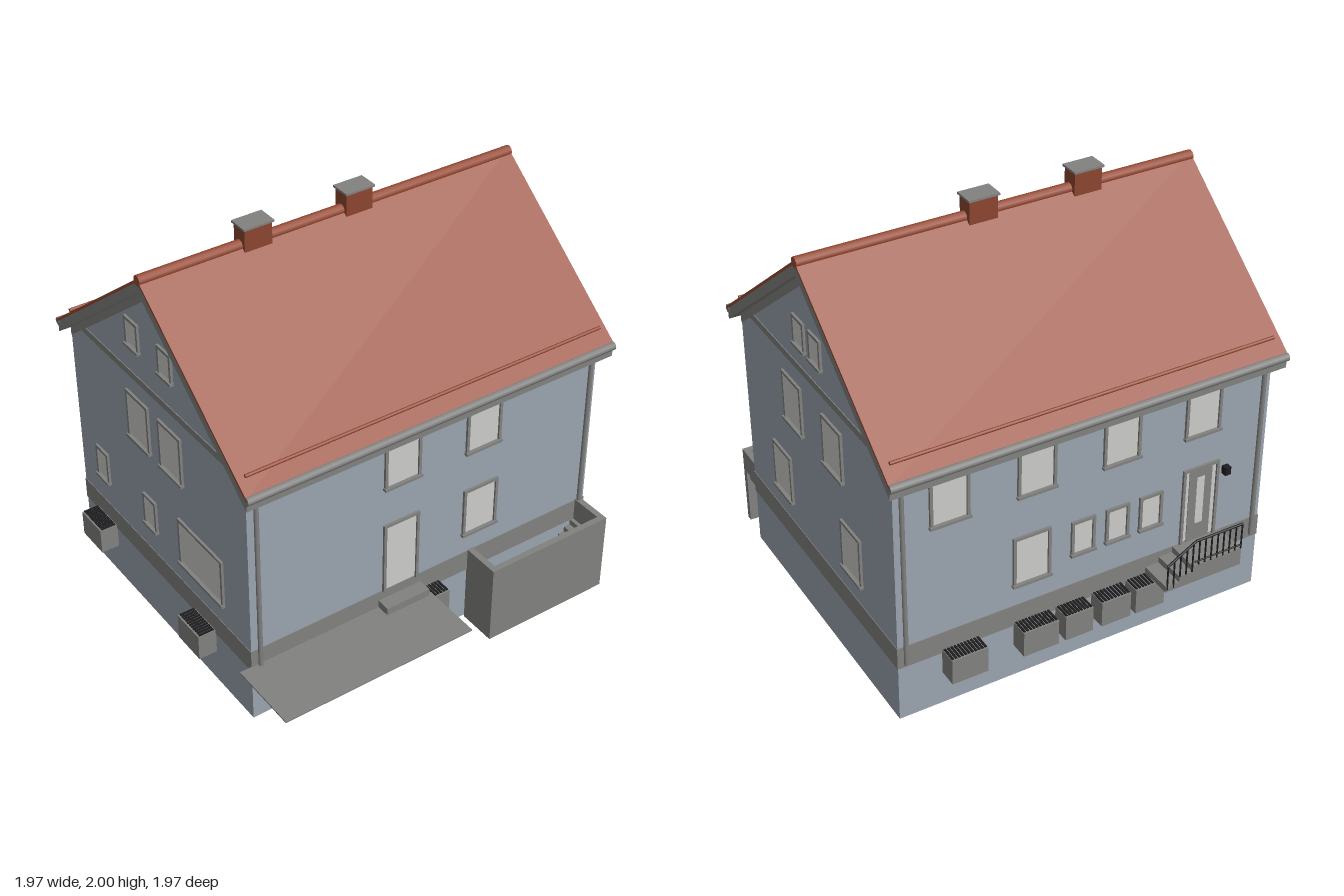
import * as THREE from 'three';

const mat = (name, color) => {
  const m = new THREE.MeshStandardMaterial({ color });
  m.name = name;
  return m;
};

export function createModel() {
  const wallMat = mat('blue grey plaster', 0x9aa4ae);
  const grey = mat('grey trim', 0x818180);
  const glass = mat('pale glass', 0xcbcbc9);
  const red = mat('red roof tile', 0x974a33);
  const brick = mat('chimney brick', 0x8c4530);
  const dark = mat('black iron', 0x1e1e20);
  const base = mat('floor underside', 0x6a6c6c);

  const house = new THREE.Group();
  house.name = 'house';
  const add = (name, geo, m, parent = house) => {
    const mesh = new THREE.Mesh(geo, m);
    mesh.name = name;
    parent.add(mesh);
    return mesh;
  };
  // Box given by its extents along each axis
  const box = (name, m, x0, x1, y0, y1, z0, z1, parent = house) => {
    const mesh = add(name, new THREE.BoxGeometry(x1 - x0, y1 - y0, z1 - z0), m, parent);
    mesh.position.set((x0 + x1) / 2, (y0 + y1) / 2, (z0 + z1) / 2);
    return mesh;
  };
  // Prism from a [z, y] outline, running along x
  const prism = (name, m, pts, x0, x1) => {
    const shape = new THREE.Shape(pts.map(([z, y]) => new THREE.Vector2(-z, y)));
    const geo = new THREE.ExtrudeGeometry(shape, { depth: x1 - x0, bevelEnabled: false });
    geo.rotateY(Math.PI / 2).translate(x0, 0, 0);
    return add(name, geo, m);
  };
  // Round bar between two points
  const bar = (name, m, a, b, r, sides = 8) => {
    const p = new THREE.Vector3(...a), q = new THREE.Vector3(...b);
    const mesh = add(name, new THREE.CylinderGeometry(r, r, p.distanceTo(q), sides), m);
    mesh.position.copy(p).lerp(q, 0.5);
    mesh.quaternion.setFromUnitVectors(new THREE.Vector3(0, 1, 0), q.sub(p).normalize());
    return mesh;
  };

  const X0 = -0.9, X1 = 0.945, Z0 = -0.82, Z1 = 0.63, RZ = -0.095, SLOPE = 0.785;
  const roofY = (z, top) => top - SLOPE * Math.abs(z - RZ);

  // Walls with gables, plinth band and floor
  prism('walls', wallMat, [[Z0, 0.02], [Z1, 0.02], [Z1, roofY(Z1, 1.86)], [RZ, 1.86], [Z0, roofY(Z0, 1.86)]], X0, X1);
  box('plinthBand', grey, X0 - 0.003, X1 + 0.003, 0.3, 0.41, Z0 - 0.003, Z1 + 0.003);
  box('floorUnderside', base, X0 + 0.035, X1 - 0.035, 0.016, 0.022, Z0 + 0.035, Z1 - 0.035);

  // Roof: layered chevrons
  const chevron = (name, m, top, thick, half, x0, x1) => {
    const zs = [RZ - half, RZ, RZ + half];
    const upper = zs.map(z => [z, roofY(z, top)]);
    const lower = zs.map(z => [z, roofY(z, top - thick)]).reverse();
    prism(name, m, [...upper, ...lower], x0, x1);
  };
  chevron('roofTiles', red, 1.915, 0.015, 0.79, -0.935, 0.985);
  chevron('roofBoards', grey, 1.9, 0.055, 0.785, -0.933, 0.983);
  chevron('gableTrim', grey, 1.85, 0.05, 0.72, X0 - 0.005, X1 + 0.005);
  box('gableBand', grey, X0 - 0.004, X1 + 0.004, 1.315, 1.35, -0.72, 0.53);
  bar('ridgeCap', red, [-0.935, 1.905, RZ], [0.985, 1.905, RZ], 0.025, 12);
  for (const s of [1, -1]) {
    const ez = RZ + s * 0.785;
    bar('gutter', grey, [-0.935, 1.283, ez], [0.985, 1.283, ez], 0.02, 10);
    const gz = RZ + s * 0.727;
    bar('snowGuard', red, [-0.9, 1.36, gz], [0.95, 1.36, gz], 0.008);
    const wz = s > 0 ? Z1 + 0.012 : Z0 - 0.012;
    for (const x of [-0.86, 0.91]) {
      bar('drainpipe', grey, [x, 0.32, wz], [x, 1.24, wz], 0.011);
      bar('drainpipeElbow', grey, [x, 1.235, wz], [x, 1.275, ez], 0.011);
    }
  }

  // Chimneys
  for (const x of [-0.375, 0.138]) {
    box('chimney', brick, x - 0.068, x + 0.068, 1.8, 1.99, -0.138, -0.056);
    box('chimneyCap', grey, x - 0.075, x + 0.075, 1.99, 2, -0.147, -0.048);
  }

  // Wall groups: local x runs along the wall, local z points outward
  const side = (name, x, z, turn) => {
    const g = new THREE.Group();
    g.name = name;
    g.position.set(x, 0, z);
    g.rotation.y = turn;
    house.add(g);
    return g;
  };
  const front = side('frontOpenings', 0, Z1, 0);
  const back = side('backOpenings', 0, Z0, Math.PI);
  const left = side('leftOpenings', X1, 0, Math.PI / 2);
  const right = side('rightOpenings', X0, 0, -Math.PI / 2);

  const opening = (g, x, y, w, h, sill = true) => {
    const t = 0.014, x0 = x - w / 2, x1 = x + w / 2, y0 = y - h / 2, y1 = y + h / 2;
    box('pane', glass, x0 + t, x1 - t, y0 + t / 2, y1 - t, -0.003, 0.003, g);
    box('frameSide', grey, x0, x0 + t, y0, y1, -0.003, 0.012, g);
    box('frameSide', grey, x1 - t, x1, y0, y1, -0.003, 0.012, g);
    box('frameTop', grey, x0 + t, x1 - t, y1 - t, y1, -0.003, 0.012, g);
    if (sill) box('sill', grey, x0 - 0.004, x1 + 0.004, y0 - 0.003, y0 + 0.01, -0.003, 0.02, g);
  };

  // Front: windows and terrace door
  opening(front, -0.12, 1.105, 0.19, 0.255);
  opening(front, 0.315, 1.105, 0.19, 0.255);
  opening(front, 0.315, 0.645, 0.19, 0.255);
  opening(front, -0.12, 0.593, 0.19, 0.375, false);
  // Left gable
  for (const z of [0.1, -0.29]) opening(left, -z, 1.105, 0.185, 0.25);
  for (const z of [0.26, -0.425]) opening(left, -z, 0.645, 0.185, 0.25);
  for (const z of [-0.015, -0.17]) opening(left, -z, 1.52, 0.11, 0.145);
  // Right gable
  for (const z of [-0.23, 0.04]) {
    opening(right, z, 1.105, 0.185, 0.25);
    opening(right, z, 1.56, 0.11, 0.145);
  }
  opening(right, 0.25, 0.645, 0.36, 0.25);
  for (const z of [-0.18, -0.61]) opening(right, z, 0.63, 0.11, 0.17);
  // Back
  for (const x of [0.69, 0.28, -0.137, -0.552]) opening(back, -x, 1.105, 0.185, 0.255);
  opening(back, -0.3, 0.645, 0.185, 0.255);
  for (const x of [0.046, -0.128, -0.3]) opening(back, -x, 0.66, 0.12, 0.18);
  opening(back, 0.56, 0.61, 0.19, 0.4, false);
  box('doorLeaf', grey, 0.5, 0.62, 0.41, 0.79, 0, 0.006, back);
  box('doorGlass', glass, 0.54, 0.58, 0.5, 0.75, 0.002, 0.008, back);
  box('wallLamp', dark, 0.675, 0.705, 0.725, 0.765, 0, 0.03, back);

  // Cellar light wells with iron grates
  const well = (g, x, w, d = 0.09) => {
    box('lightWell', grey, x - w / 2, x + w / 2, 0.19, 0.318, 0, d, g);
    const n = Math.round(w / 0.016);
    for (let i = 0; i < n; i++) {
      const bx = x - w / 2 + 0.008 + (w - 0.016) * i / (n - 1);
      box('grateBar', dark, bx - 0.005, bx + 0.005, 0.316, 0.323, 0.008, d - 0.008, g);
    }
  };
  well(front, 0.008, 0.175);
  for (const z of [-0.622, 0.252]) well(right, z, 0.175);
  for (const [x, w] of [[0.648, 0.175], [0.298, 0.175], [0.105, 0.14], [-0.085, 0.15], [-0.262, 0.15]]) well(back, -x, w);

  // Terrace and door step
  box('terrace', grey, -0.96, 0.015, 0.318, 0.325, Z1, 0.985);
  box('terraceStep', grey, -0.235, -0.005, 0.325, 0.362, Z1, 0.7);

  // Back porch with steps and railing
  box('porch', grey, -0.69, -0.43, 0.32, 0.41, -0.985, Z0);
  box('porchStep', grey, -0.43, -0.36, 0.32, 0.38, -0.985, Z0);
  box('porchStep', grey, -0.36, -0.29, 0.32, 0.35, -0.985, Z0);
  const rz = -0.983;
  bar('handrail', dark, [-0.69, 0.545, rz], [-0.44, 0.545, rz], 0.006);
  bar('handrailSlope', dark, [-0.44, 0.545, rz], [-0.295, 0.46, rz], 0.006);
  bar('lowerRail', dark, [-0.69, 0.43, rz], [-0.44, 0.43, rz], 0.004);
  for (let i = 0; i <= 12; i++) {
    const x = -0.688 + i * 0.0325;
    const foot = x < -0.43 ? 0.41 : x < -0.36 ? 0.38 : 0.33;
    bar('baluster', dark, [x, foot, rz], [x, x < -0.44 ? 0.545 : 0.545 - (x + 0.44) * 0.586, rz], 0.004, 6);
  }

  // Cellar stairwell
  box('stairWallFront', grey, 0.26, 0.925, 0.01, 0.415, 0.79, 0.82);
  box('stairWallEnd', grey, 0.26, 0.29, 0.01, 0.415, Z1, 0.79);
  box('stairWallTop', grey, 0.895, 0.925, 0.3, 0.415, Z1, 0.79);
  box('stairLanding', grey, 0.29, 0.46, 0.01, 0.025, Z1, 0.79);
  const steps = 11, run = 0.37 / steps, rise = 0.3 / steps;
  for (let i = 0; i < steps; i++) {
    const x = 0.54 + i * run, y = (i + 1) * rise;
    box('stairStep', grey, x, x + run, Math.max(0, y - 0.05), y, Z1, 0.79);
  }
  return house;
}
